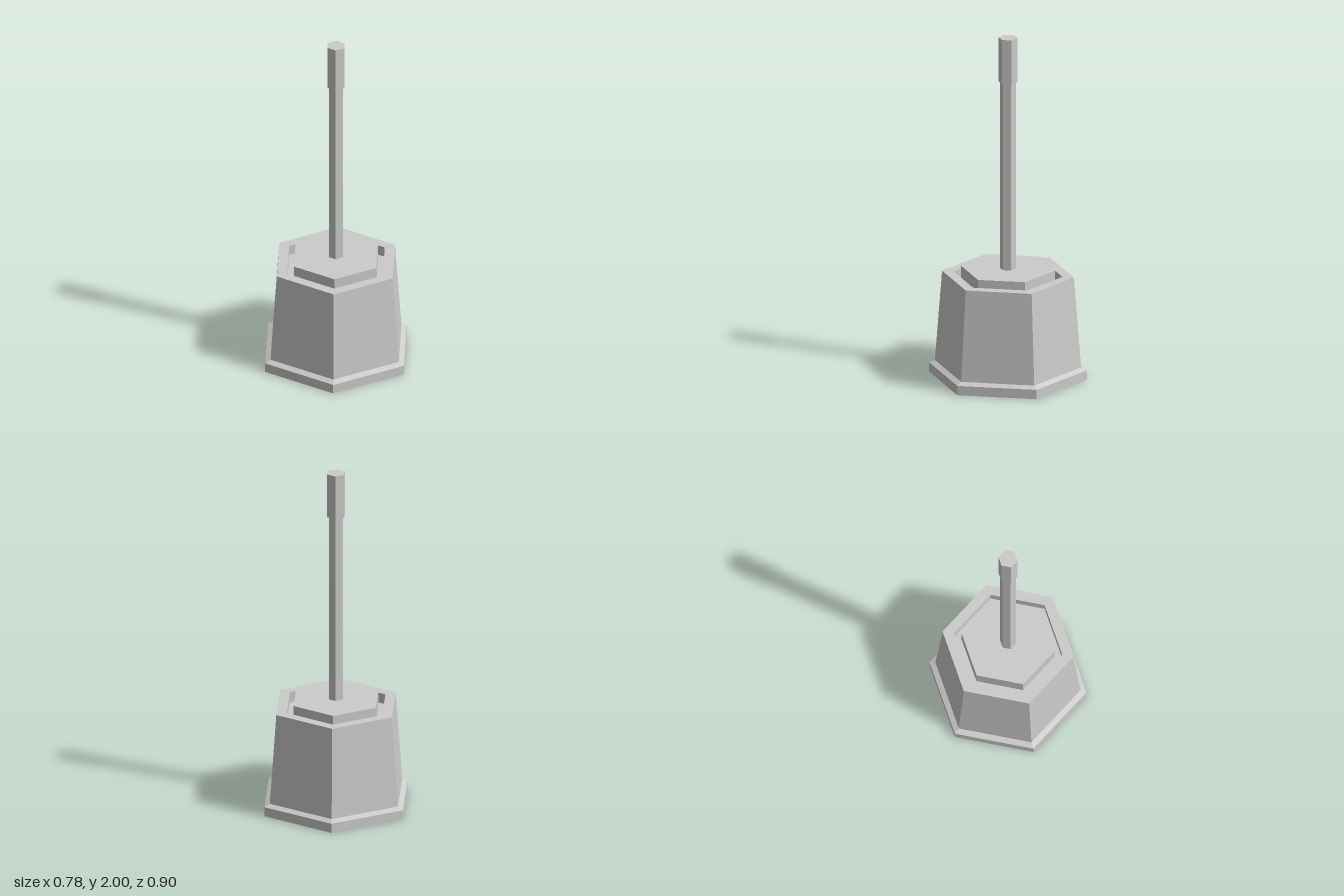
import * as THREE from 'three';

const SIDES = 6;
const grey = new THREE.MeshStandardMaterial({ color: 0xcccccc, flatShading: true });

// Six-sided solid from a profile of [radius, y] points, corners facing +z and -z
function hexTurned(name, profile) {
  const points = profile.map(([r, y]) => new THREE.Vector2(r, y));
  const mesh = new THREE.Mesh(new THREE.LatheGeometry(points, SIDES), grey);
  mesh.name = name;
  return mesh;
}

// Straight six-sided prism between two heights
function hexPrism(name, radius, bottom, top) {
  const mesh = new THREE.Mesh(new THREE.CylinderGeometry(radius, radius, top - bottom, SIDES), grey);
  mesh.position.y = (bottom + top) / 2;
  mesh.name = name;
  return mesh;
}

export function createModel() {
  const model = new THREE.Group();
  model.name = 'brushAndHolder';

  // Tapered holder: flanged foot, sloping wall, flat rim and recess
  const holder = hexTurned('holder', [
    [0, 0], [0.45, 0], [0.45, 0.055], [0.416, 0.07],
    [0.375, 0.6], [0.31, 0.6], [0.31, 0.54], [0, 0.54],
  ]);

  // Lid sitting in the recess, with the shaft and grip above it
  const lid = hexPrism('lid', 0.267, 0.54, 0.635);
  const shaft = hexPrism('shaft', 0.045, 0.635, 1.74);
  const grip = hexPrism('grip', 0.055, 1.74, 2);

  model.add(holder, lid, shaft, grip);
  return model;
}
